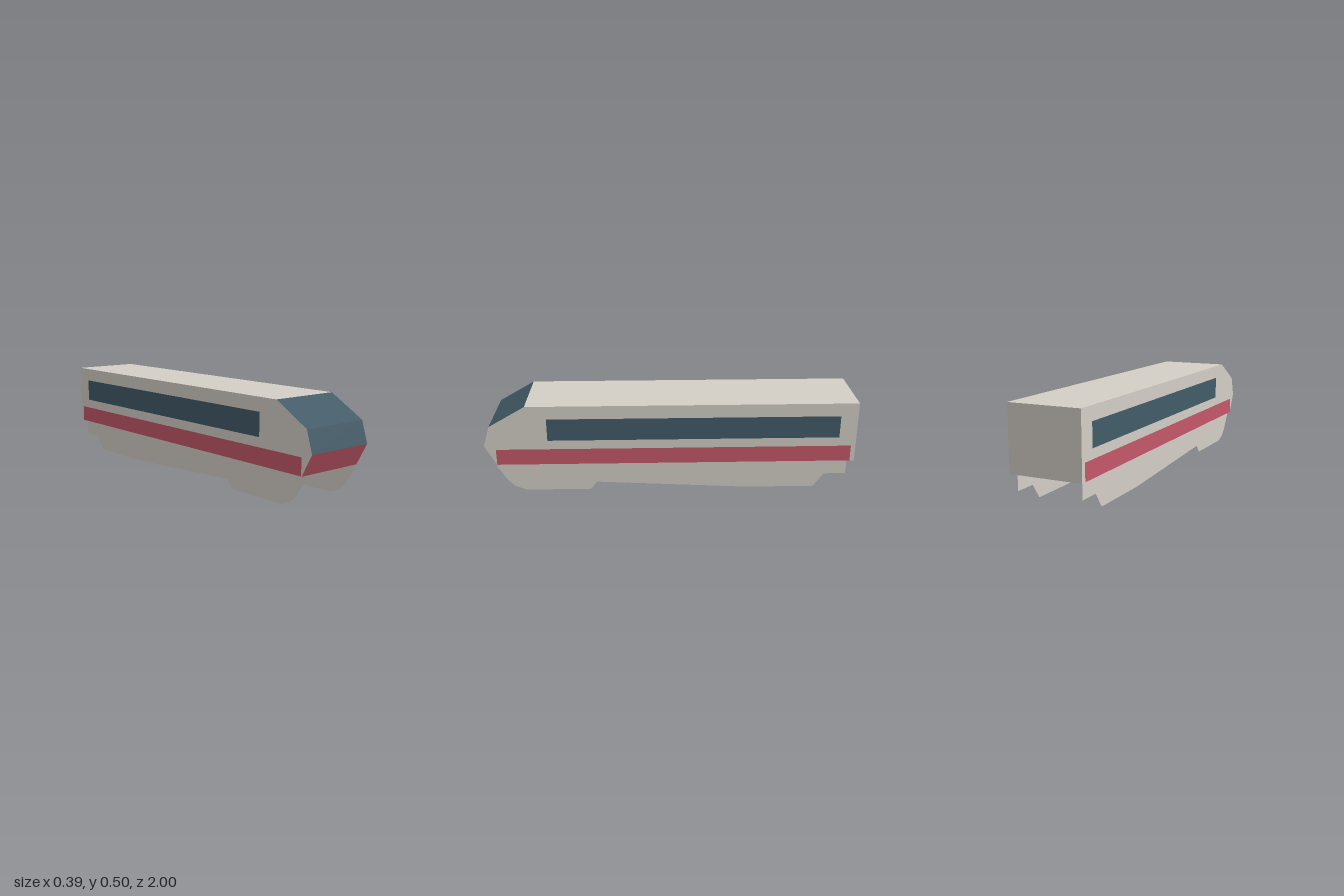
import * as THREE from 'three';

const HALF_WIDTH = 0.192;
const SKIRT_X = 0.172;

// All outlines are [z, y] points seen from the side.
const BODY = [[0.94, 0.165], [1, 0.276], [0.965, 0.388], [0.77, 0.5], [-1, 0.5], [-1, 0.165]];
const SKIRT = [
  [0.94, 0.165], [0.945, 0.145], [0.89, 0.058], [0.855, 0.025], [0.795, 0], [0.44, 0], [0.407, 0.044],
  [-0.42, 0], [-0.79, 0], [-0.845, 0.077], [-0.965, 0.077], [-0.965, 0.165],
];
const rect = (z0, z1, y0, y1) => [[z0, y0], [z1, y0], [z1, y1], [z0, y1]];

function material(name, color, side = THREE.FrontSide) {
  const m = new THREE.MeshStandardMaterial({ color, side });
  m.name = name;
  return m;
}

// Flat plate facing outward on one side (s = 1 left, -1 right)
function sidePlate(name, points, s, x, mat) {
  const shape = new THREE.Shape(points.map(([z, y]) => new THREE.Vector2(-s * z, y)));
  const mesh = new THREE.Mesh(new THREE.ShapeGeometry(shape).rotateY(s * Math.PI / 2), mat);
  mesh.position.x = s * x;
  mesh.name = name;
  return mesh;
}

// Full-width panel spanning one edge of the body outline
function crossPanel(name, [z0, y0], [z1, y1], mat) {
  const dz = z1 - z0, dy = y1 - y0;
  const mesh = new THREE.Mesh(new THREE.PlaneGeometry(2 * HALF_WIDTH, Math.hypot(dz, dy)), mat);
  mesh.position.set(0, (y0 + y1) / 2, (z0 + z1) / 2);
  mesh.rotation.x = Math.atan2(dz, dy);
  mesh.name = name;
  return mesh;
}

export function createModel() {
  const group = new THREE.Group();
  group.name = 'railcar';
  const cream = material('cream paint', 0xd3cfc6, THREE.DoubleSide);
  const glass = material('blue glass', 0x425b67);
  const red = material('red paint', 0xc4586a);

  // Nose, roof, back and floor, following the outline round
  const panels = [
    ['noseLower', red], ['noseUpper', glass], ['windscreen', glass],
    ['roof', cream], ['backWall', cream], ['floor', cream],
  ];
  panels.forEach(([name, mat], i) => {
    group.add(crossPanel(name, BODY[i], BODY[(i + 1) % BODY.length], mat));
  });

  // Side walls, window bands, stripes and underbody skirts
  for (const [side, s] of [['left', 1], ['right', -1]]) {
    group.add(
      sidePlate(side + 'Wall', BODY, s, HALF_WIDTH, cream),
      sidePlate(side + 'WindowBand', rect(0.66, -0.907, 0.305, 0.428), s, HALF_WIDTH + 0.0015, glass),
      sidePlate(side + 'Stripe', rect(0.938, -0.975, 0.166, 0.255), s, HALF_WIDTH + 0.0015, red),
      sidePlate(side + 'Skirt', SKIRT, s, SKIRT_X, cream),
    );
  }
  return group;
}
